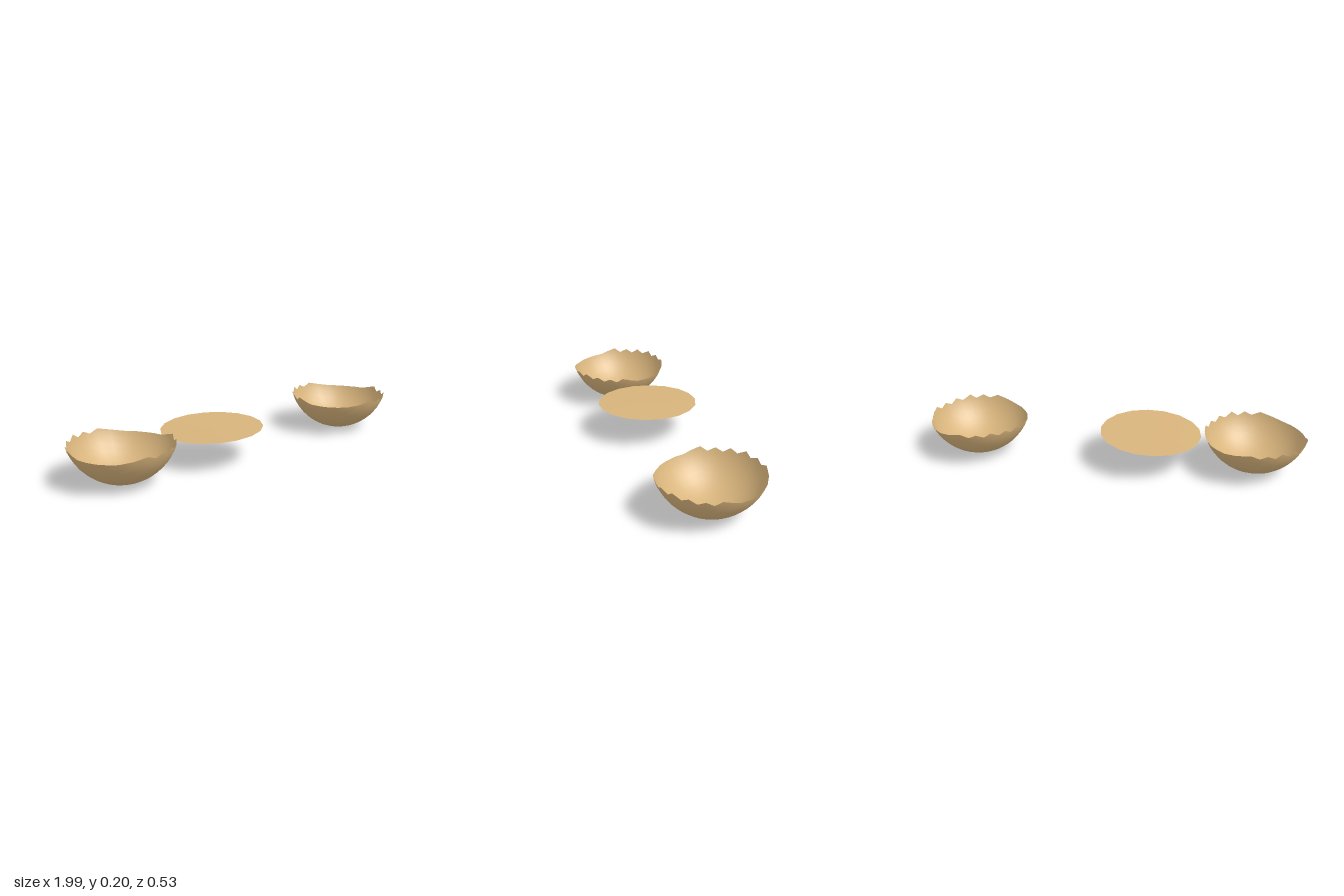
import * as THREE from 'three';

const R = 0.276; // radius of the sphere the bowls are cut from

// Half of the broken rim: [angle from +x towards +z in degrees, height]; repeats after 180 degrees
const HALF_RIM = [
  [11, 0.2], [18.5, 0.178], [27, 0.195], [35, 0.178], [43, 0.2], [51, 0.183], [61, 0.205], [68, 0.183],
  [77, 0.2], [85, 0.183], [95, 0.2], [110, 0.185], [125, 0.175], [137, 0.174], [148, 0.173], [160, 0.174],
  [172, 0.175], [181, 0.187],
];

function makeGeometry(positions, normals, indices) {
  const g = new THREE.BufferGeometry();
  g.setAttribute('position', new THREE.Float32BufferAttribute(positions, 3));
  g.setIndex(indices);
  if (normals) g.setAttribute('normal', new THREE.Float32BufferAttribute(normals, 3));
  else g.computeVertexNormals();
  return g;
}

// Spherical shell whose columns run from the bottom pole up to the jagged rim
function bowlGeometry(rings = 9) {
  const rim = [...HALF_RIM, ...HALF_RIM.map(([a, y]) => [a + 180, y])];
  const n = rim.length, pos = [], nor = [], idx = [];
  for (let j = 0; j <= rings; j++) {
    for (const [deg, y] of rim) {
      const a = THREE.MathUtils.degToRad(deg);
      const p = Math.acos(1 - y / R) * j / rings;
      const d = [Math.sin(p) * Math.cos(a), -Math.cos(p), Math.sin(p) * Math.sin(a)];
      pos.push(d[0] * R, R + d[1] * R, d[2] * R);
      nor.push(...d);
    }
  }
  for (let j = 0; j < rings; j++) {
    for (let i = 0; i < n; i++) {
      const k = (i + 1) % n;
      const a = j * n + i, b = j * n + k, c = a + n, d = b + n;
      if (j > 0) idx.push(a, b, c);
      idx.push(b, d, c);
    }
  }
  return makeGeometry(pos, nor, idx);
}

// Thin, slightly bent round sheet
function sheetGeometry(sides = 18, rings = 3) {
  const pos = [], idx = [];
  for (let j = 0; j <= rings; j++) {
    for (let i = 0; i < sides; i++) {
      const a = i / sides * Math.PI * 2, r = j / rings;
      const u = r * Math.cos(a), w = r * Math.sin(a);
      pos.push(0.265 * u, 0.167 + 0.01 * u - 0.002 * u * u + 0.003 * w, 0.267 * w);
    }
  }
  for (let j = 0; j < rings; j++) {
    for (let i = 0; i < sides; i++) {
      const k = (i + 1) % sides;
      const a = j * sides + i, b = j * sides + k, c = a + sides, d = b + sides;
      if (j > 0) idx.push(a, b, c);
      idx.push(b, d, c);
    }
  }
  return makeGeometry(pos, null, idx);
}

export function createModel() {
  const model = new THREE.Group();
  model.name = 'shellHalves';
  const shell = new THREE.MeshStandardMaterial({ color: 0xd8b47c, side: THREE.DoubleSide });
  shell.name = 'tan shell';

  // Two matching broken bowls
  const bowl = bowlGeometry();
  for (const [name, x] of [['leftBowl', 0.735], ['rightBowl', -0.735]]) {
    const mesh = new THREE.Mesh(bowl, shell);
    mesh.name = name;
    mesh.position.x = x;
    model.add(mesh);
  }

  // Loose round sheet beside the right bowl
  const sheet = new THREE.Mesh(sheetGeometry(), shell);
  sheet.name = 'roundSheet';
  sheet.position.set(-0.193, 0, -0.004);
  // wind the sheet so its front faces up
  const order = sheet.geometry.index;
  for (let i = 0; i < order.count; i += 3) {
    const t = order.getX(i);
    order.setX(i, order.getX(i + 1));
    order.setX(i + 1, t);
  }
  sheet.geometry.computeVertexNormals();
  model.add(sheet);
  return model;
}
